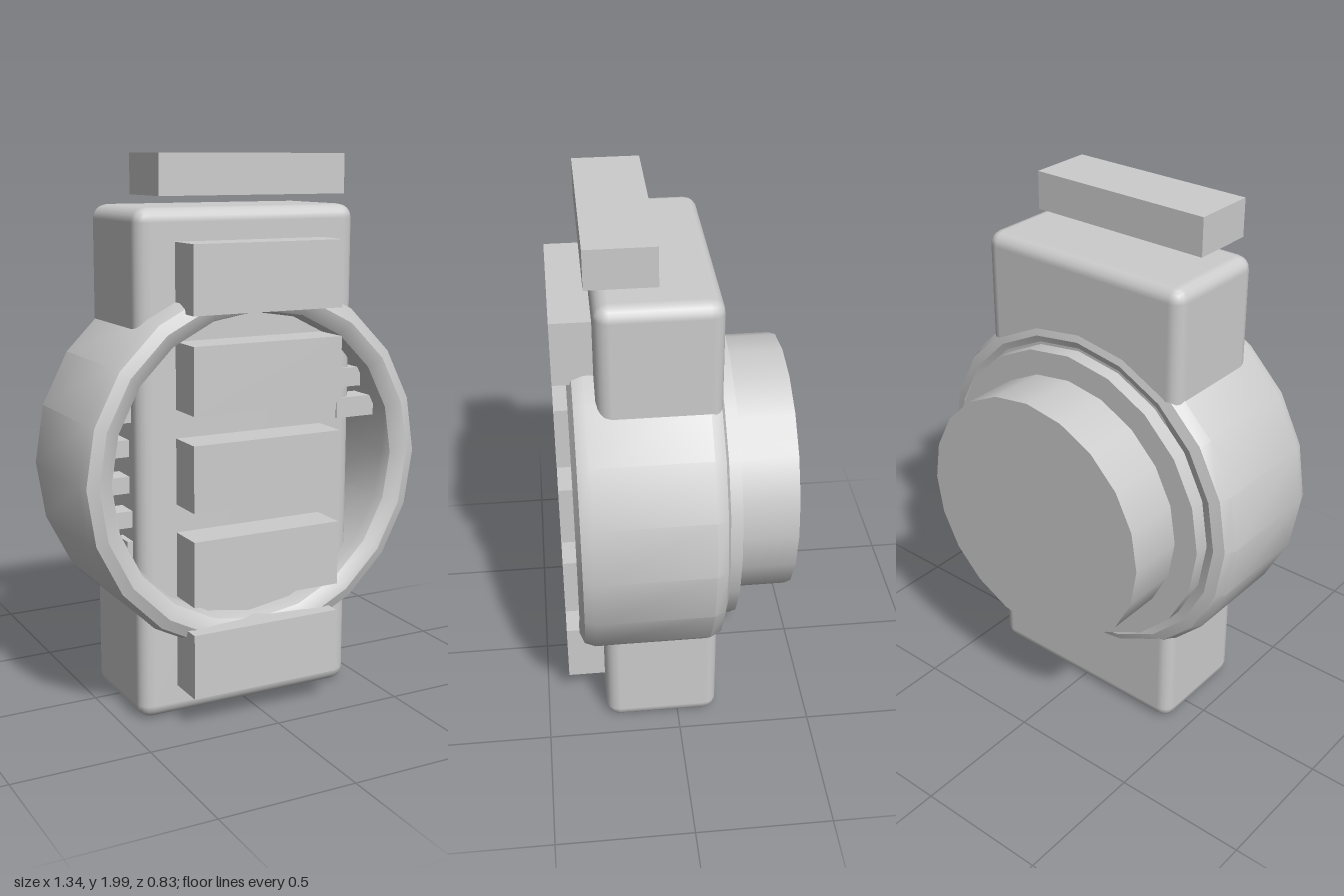
import * as THREE from 'three';
import { toCreasedNormals } from 'three/addons/utils/BufferGeometryUtils.js';
import { RoundedBoxGeometry } from 'three/addons/geometries/RoundedBoxGeometry.js';

export function createModel() {
  const model = new THREE.Group();
  const grey = new THREE.MeshStandardMaterial({ color: 0xcccccc });
  grey.name = 'light grey';
  const midY = 0.91;

  function add(name, geometry, x, y, z) {
    const mesh = new THREE.Mesh(geometry, grey);
    mesh.name = name;
    mesh.position.set(x, y, z);
    model.add(mesh);
    return mesh;
  }

  // Box given by its limits on each axis
  function block(name, x0, x1, y0, y1, z0, z1) {
    return add(name, new THREE.BoxGeometry(x1 - x0, y1 - y0, z1 - z0),
      (x0 + x1) / 2, (y0 + y1) / 2, (z0 + z1) / 2);
  }

  // Upright housing with softened edges
  add('housing', new RoundedBoxGeometry(0.86, 1.815, 0.425, 2, 0.05), 0, midY + 0.005, 0.0625);

  // Bevelled ring around the housing: closed profile of radius and depth
  const profile = [
    [0.61, -0.158], [0.65, -0.145], [0.67, -0.105], [0.67, 0.31], [0.655, 0.35],
    [0.615, 0.367], [0.59, 0.36], [0.56, 0.34], [0.55, 0.30],
    [0.55, -0.105], [0.57, -0.145], [0.61, -0.158],
  ].map(([r, z]) => new THREE.Vector2(r, z));
  const ring = new THREE.LatheGeometry(profile, 20).rotateX(Math.PI / 2);
  add('ring', toCreasedNormals(ring, 0.5), 0, midY, 0);

  // Stepped discs on the back
  function disc(name, radius, z0, z1) {
    const geometry = new THREE.CylinderGeometry(radius, radius, z1 - z0, 20).rotateX(Math.PI / 2);
    add(name, geometry, 0, midY, (z0 + z1) / 2);
  }
  disc('backPlate', 0.575, -0.205, -0.14);
  disc('backDrum', 0.48, -0.42, -0.2);

  // Column of bars on the front
  for (let i = 0; i < 5; i++) {
    const y = 0.24 + i * 0.3375;
    block('frontBar' + (i + 1), -0.29, 0.29, y - 0.118, y + 0.118, 0.2, 0.415);
  }

  // Floating bar above the housing
  block('topBar', -0.36, 0.36, 1.86, 2, 0.06, 0.3);

  // Small teeth inside the ring on the right
  [[0.635, -0.45, -0.41], [0.745, -0.51, -0.42], [0.87, -0.54, -0.44],
    [1.0, -0.54, -0.44], [1.12, -0.49, -0.42]].forEach(([y, x0, x1], i) => {
    block('rightTooth' + (i + 1), x0, x1, y - 0.03, y + 0.03, 0.12, 0.21);
  });

  // Two small pegs inside the ring on the left
  block('upperPeg', 0.36, 0.46, 1.16, 1.23, 0.18, 0.28);
  block('lowerPeg', 0.36, 0.52, 1.045, 1.12, 0.18, 0.28);

  return model;
}
